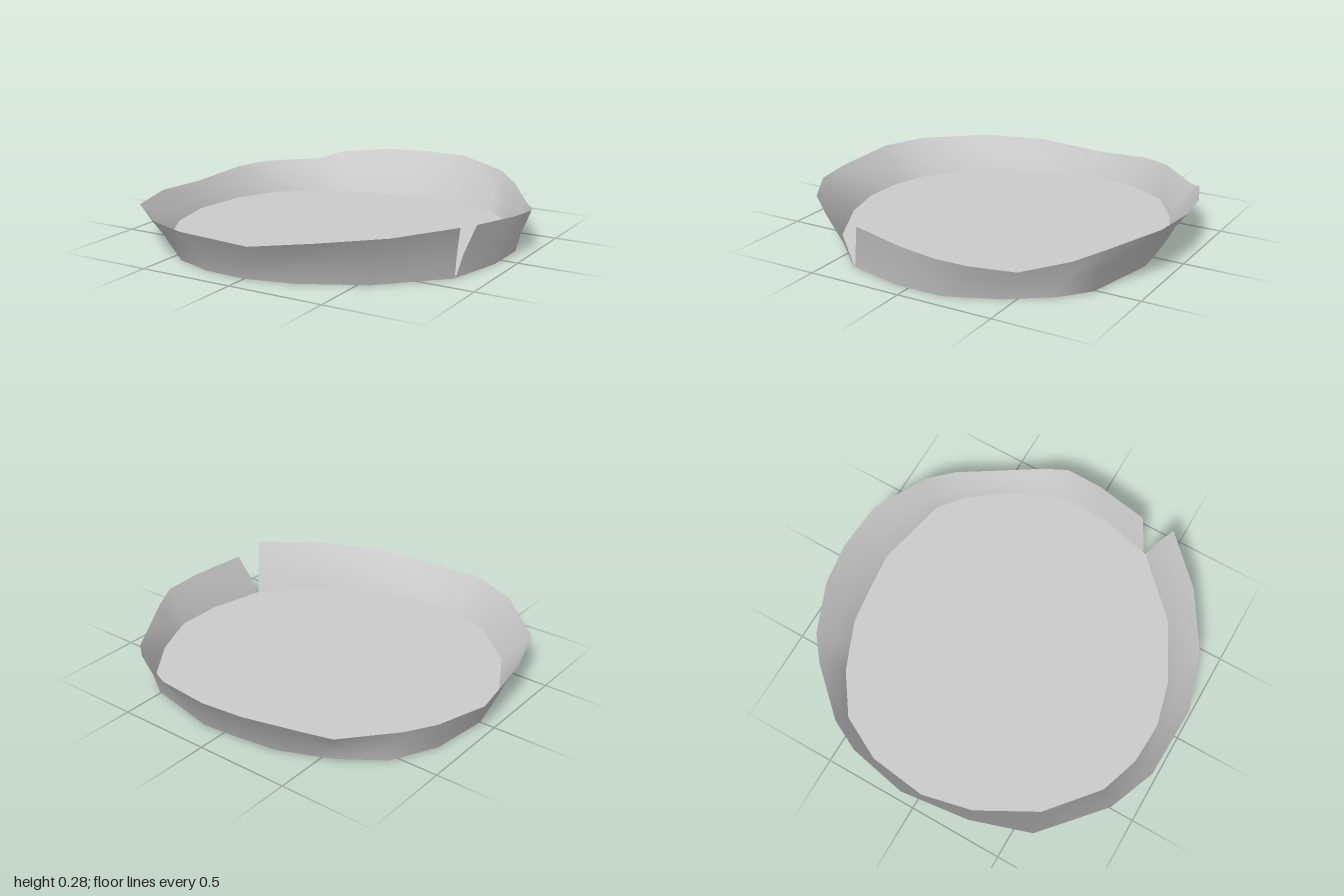
import * as THREE from 'three';

// Sections around the dish, from one side of the split to the other:
// rim x, rim height, rim z, base x, base z
const SECTIONS = [
  [0.91, 0.28, 0.47, 0.84, 0.37],
  [0.68, 0.255, 0.71, 0.55, 0.66],
  [0.40, 0.235, 0.89, 0.24, 0.82],
  [0.10, 0.20, 0.99, 0.0, 0.88],
  [-0.29, 0.21, 0.98, -0.22, 0.87],
  [-0.54, 0.205, 0.88, -0.43, 0.80],
  [-0.84, 0.185, 0.61, -0.69, 0.58],
  [-0.94, 0.18, 0.30, -0.86, 0.27],
  [-0.98, 0.15, -0.07, -0.92, 0.0],
  [-0.92, 0.18, -0.38, -0.88, -0.31],
  [-0.84, 0.19, -0.54, -0.76, -0.54],
  [-0.62, 0.185, -0.78, -0.55, -0.69],
  [-0.50, 0.225, -0.87, -0.42, -0.745],
  [-0.24, 0.25, -0.97, -0.29, -0.80],
  [-0.02, 0.255, -1.0, -0.08, -0.83],
  [0.25, 0.26, -0.98, 0.12, -0.85],
  [0.54, 0.235, -0.84, 0.51, -0.765],
  [0.67, 0.20, -0.73, 0.65, -0.65],
  [0.82, 0.16, -0.53, 0.80, -0.44],
  [0.93, 0.19, -0.33, 0.87, -0.28],
  [0.98, 0.215, -0.20, 0.91, -0.18],
  [0.97, 0.23, 0.0, 0.91, 0.07],
  [0.91, 0.25, 0.29, 0.84, 0.36],
];

// Profile of the wall: [share of the height, share of the outward flare]
const PROFILE = [[0, 0], [0.45, 0.36], [1, 1]];

// Thin flared wall, left open at the split
function wallGeometry() {
  const positions = [];
  const index = [];
  const n = PROFILE.length;
  SECTIONS.forEach(([rx, ry, rz, bx, bz], i) => {
    for (const [h, f] of PROFILE) {
      positions.push(bx + (rx - bx) * f, ry * h, bz + (rz - bz) * f);
    }
    if (i === 0) return;
    for (let j = 0; j < n - 1; j++) {
      const a = (i - 1) * n + j;
      const b = i * n + j;
      index.push(a, a + 1, b, b, a + 1, b + 1);
    }
  });
  const geometry = new THREE.BufferGeometry();
  geometry.setAttribute('position', new THREE.Float32BufferAttribute(positions, 3));
  geometry.setIndex(index);
  geometry.computeVertexNormals();
  return geometry;
}

// Flat floor slab following the foot of the wall
function floorGeometry() {
  const outline = SECTIONS.map(([, , , x, z]) => new THREE.Vector2(x, -z));
  const geometry = new THREE.ExtrudeGeometry(new THREE.Shape(outline), {
    depth: 0.012,
    bevelEnabled: false,
  });
  return geometry.rotateX(-Math.PI / 2);
}

export function createModel() {
  const group = new THREE.Group();
  group.name = 'brokenDish';
  const material = new THREE.MeshStandardMaterial({ color: 0xcccccc, side: THREE.DoubleSide });

  const wall = new THREE.Mesh(wallGeometry(), material);
  wall.name = 'wall';
  const floor = new THREE.Mesh(floorGeometry(), material);
  floor.name = 'floor';
  group.add(wall, floor);
  return group;
}
